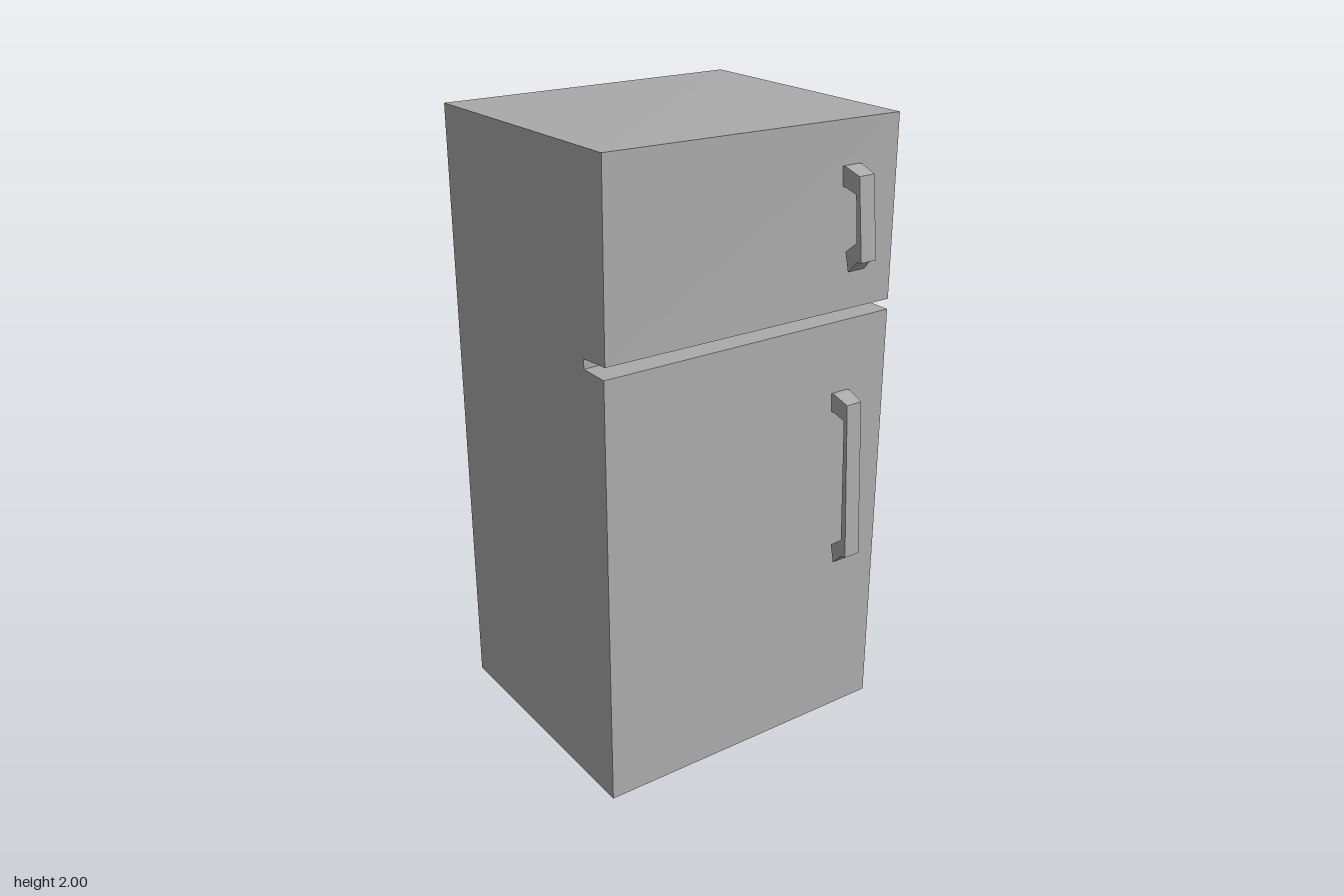
import * as THREE from 'three';

const grey = new THREE.MeshStandardMaterial({ color: 0xaaaaaa });
grey.name = 'grey';

// Side profile given as [z, y] points, extruded across x and centred on it
function extrudeAcross(points, width) {
  const shape = new THREE.Shape(points.map(([z, y]) => new THREE.Vector2(z, y)));
  const geo = new THREE.ExtrudeGeometry(shape, { depth: width, bevelEnabled: false });
  geo.rotateY(-Math.PI / 2);
  geo.translate(width / 2, 0, 0);
  return geo;
}

// Moves every vertex by a rule, then restores crisp flat normals
function reshape(geo, rule) {
  const pos = geo.attributes.position;
  const v = new THREE.Vector3();
  for (let i = 0; i < pos.count; i++) {
    rule(v.fromBufferAttribute(pos, i));
    pos.setXYZ(i, v.x, v.y, v.z);
  }
  geo.computeVertexNormals();
  return geo;
}

function part(name, geo) {
  const mesh = new THREE.Mesh(geo, grey);
  mesh.name = name;
  return mesh;
}

// Bent pull handle, leaning slightly sideways from top to bottom
function handle(name, top, bottom) {
  const geo = extrudeAcross([
    [0.385, top], [0.405, top], [0.46, top - 0.018], [0.475, bottom + 0.04],
    [0.455, bottom + 0.037], [0.422, bottom], [0.41, bottom + 0.06],
    [0.453, bottom + 0.095], [0.447, top - 0.073], [0.405, top - 0.06], [0.385, top - 0.06],
  ], 0.056);
  return part(name, reshape(geo, (v) => {
    if (v.z < 0.44) v.x *= 1.12; // feet are a little wider than the bar
    v.x += 0.333 + 0.013 * (top - v.y) / (top - bottom);
  }));
}

export function createModel() {
  const model = new THREE.Group();
  model.name = 'refrigerator';

  // Cabinet with the gap between freezer and main door cut into its front
  const cabinet = extrudeAcross([
    [-0.475, 0], [0.392, 0], [0.392, 1.385], [0.29, 1.385],
    [0.29, 1.415], [0.392, 1.418], [0.392, 1.985], [-0.475, 1.985],
  ], 1.02);
  // The freezer door stands slightly proud at one upper corner
  reshape(cabinet, (v) => {
    if (v.x < 0 && v.z > 0.35 && v.y > 1.4) {
      const top = v.y > 1.9;
      v.z += top ? 0.013 : 0.007;
      v.y += top ? 0.015 : 0.006;
    }
  });
  model.add(part('cabinet', cabinet));

  model.add(handle('freezerHandle', 1.855, 1.545));
  model.add(handle('mainDoorHandle', 1.155, 0.577));
  return model;
}
